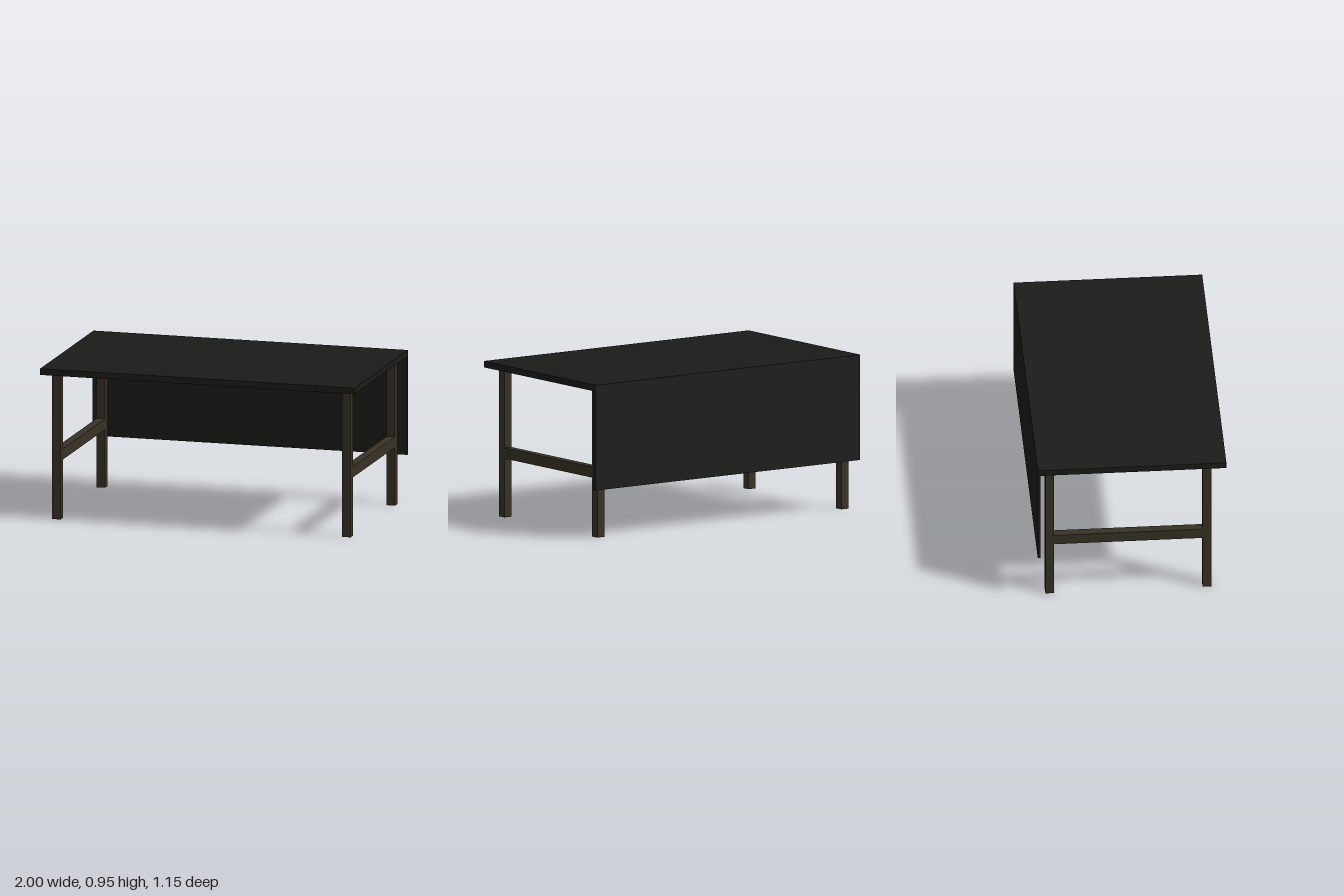
import * as THREE from 'three';

export function createModel() {
  const group = new THREE.Group();
  const black = new THREE.MeshStandardMaterial({ color: 0x1b1b1a });
  const bronze = new THREE.MeshStandardMaterial({ color: 0x383224 });

  // Box given by its extents on each axis
  function box(name, material, [x0, x1], [y0, y1], [z0, z1]) {
    const mesh = new THREE.Mesh(new THREE.BoxGeometry(x1 - x0, y1 - y0, z1 - z0), material);
    mesh.position.set((x0 + x1) / 2, (y0 + y1) / 2, (z0 + z1) / 2);
    mesh.name = name;
    group.add(mesh);
  }

  // Desk top and the modesty panel hanging from its back edge
  box('deskTop', black, [-1, 1], [0.914, 0.953], [-0.577, 0.577]);
  box('modestyPanel', black, [-1, 1], [0.302, 0.914], [-0.577, -0.56]);

  // H-shaped leg frame on each side, ending just below the top
  for (const [side, x] of [['left', 0.922], ['right', -0.922]]) {
    const width = [x - 0.027, x + 0.027];
    box(side + 'FrontLeg', bronze, width, [0, 0.907], [0.435, 0.489]);
    box(side + 'BackLeg', bronze, width, [0, 0.907], [-0.527, -0.473]);
    box(side + 'Stretcher', bronze, width, [0.364, 0.43], [-0.473, 0.435]);
  }

  return group;
}
